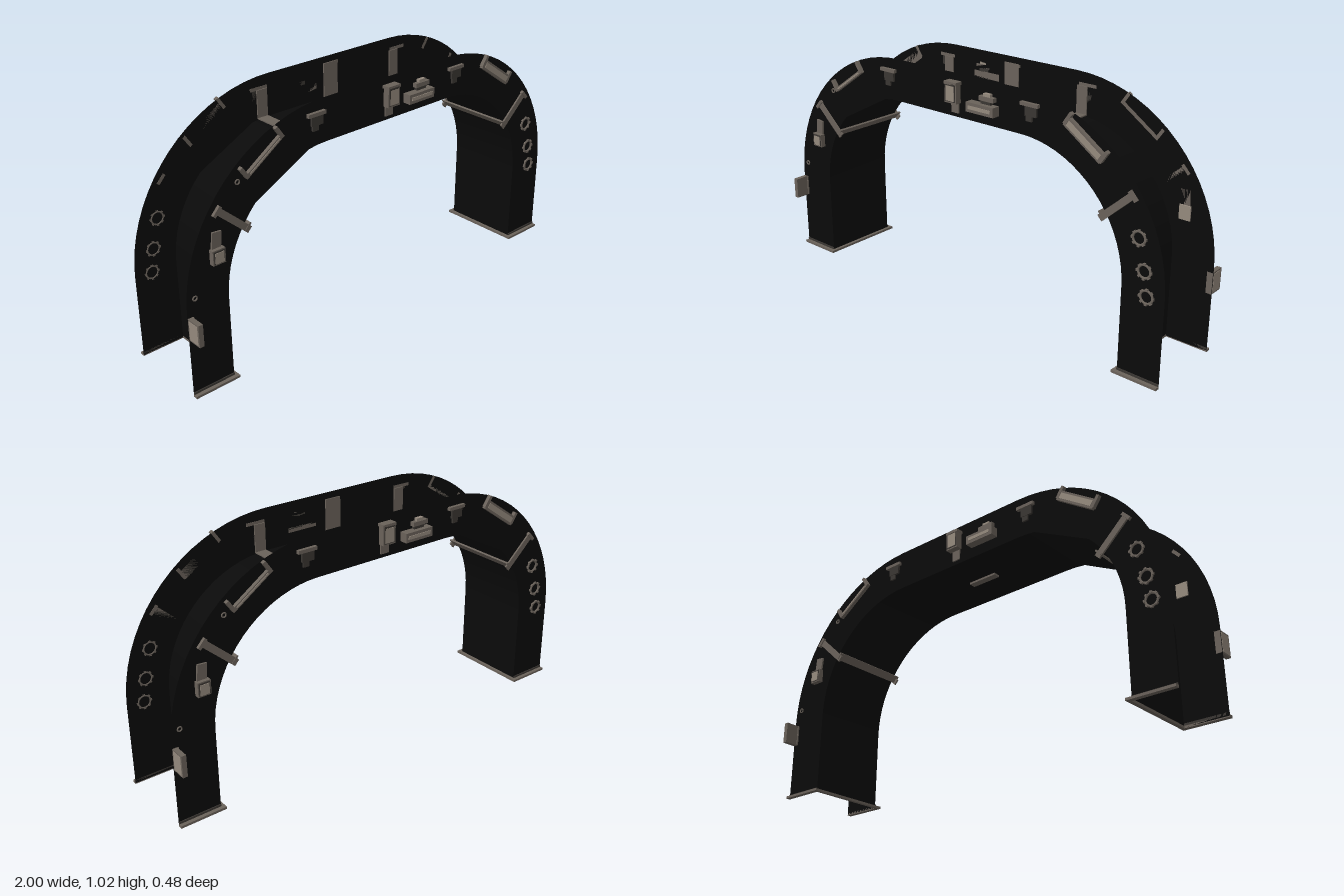
import * as THREE from 'three';

const CX = 0.33, CY = 0.36, R_OUT = 0.663, R_IN = 0.483, WALL = 0.175;

export function createModel() {
  const model = new THREE.Group();
  model.name = 'archway';
  const mat = (name, color, side = THREE.FrontSide) => {
    const m = new THREE.MeshStandardMaterial({ color, side });
    m.name = name;
    return m;
  };
  const black = mat('blackPanel', 0x0a0a0a, THREE.DoubleSide);
  const metal = mat('warmGreyMetal', 0x6a625a);
  const pale = mat('paleMetal', 0x94897d);
  const dark = mat('darkMetal', 0x3a3632);

  const add = (parent, name, geo, material, x = 0, y = 0, z = 0, rot = 0) => {
    const mesh = new THREE.Mesh(geo, material);
    mesh.name = name;
    mesh.position.set(x, y, z);
    mesh.rotation.z = rot;
    parent.add(mesh);
    return mesh;
  };
  const box = (parent, name, m, size, pos, rot = 0) =>
    add(parent, name, new THREE.BoxGeometry(...size), m, ...pos, rot);

  // Arch line from the right foot over the top to the left foot
  const archLine = (r, legX, skip = () => false) => {
    const pts = [new THREE.Vector2(legX, 0.004)];
    for (const [from, cx] of [[0, CX], [90, -CX]]) {
      for (let a = from; a <= from + 90; a += 5) {
        if (skip(a)) continue;
        const t = THREE.MathUtils.degToRad(a);
        const rx = legX - CX;
        pts.push(new THREE.Vector2(cx + rx * Math.cos(t), CY + r * Math.sin(t)));
      }
    }
    pts.push(new THREE.Vector2(-legX, 0.004));
    return pts;
  };
  const outer = archLine(R_OUT, 1);
  const inner = archLine(R_IN, 0.815, (a) => a > 104 && a < 133);

  // Thin side walls of the open channel
  const wall = new THREE.ShapeGeometry(new THREE.Shape([...outer, ...[...inner].reverse()]));
  add(model, 'frontWall', wall, black, 0, 0, WALL);
  add(model, 'backWall', wall, black, 0, 0, -WALL).rotation.y = Math.PI;
  // the left chord must line up on both walls
  model.children[1].rotation.y = 0;

  // Inner panel bent along the inner line
  const panel = new THREE.PlaneGeometry(1, 2 * WALL, inner.length - 1, 1);
  const pos = panel.attributes.position;
  for (let i = 0; i < pos.count; i++) {
    const p = inner[i % inner.length];
    pos.setXYZ(i, p.x, p.y, i < inner.length ? WALL : -WALL);
  }
  panel.computeVertexNormals();
  add(model, 'innerPanel', panel, black);

  // Foot flanges: front, back and inner strip on each leg
  for (const s of [1, -1]) {
    for (const f of [1, -1]) {
      box(model, 'footFlange', metal, [0.2, 0.01, 0.02], [s * 0.9, 0.005, f * 0.185]);
      box(model, 'footLip', dark, [0.185, 0.01, 0.004], [s * 0.907, 0.014, f * 0.177]);
    }
    box(model, 'footFlangeInner', metal, [0.015, 0.01, 0.39], [s * 0.808, 0.005, 0]);
  }

  // Straps lying across the channel floor and up both walls
  for (const [x, w, h] of [[-0.365, 0.05, 0.12], [-0.005, 0.075, 0.15], [0.36, 0.05, 0.12]]) {
    box(model, 'floorStrap', metal, [w, 0.005, 0.34], [x, 0.847, 0]);
    for (const f of [1, -1])
      box(model, 'wallStrap', metal, [w, h, 0.005], [x, 0.845 + h / 2, f * 0.171]);
  }
  // Centre bar through the top panel
  box(model, 'centreBar', dark, [0.15, 0.02, 0.03], [-0.005, 0.855, -0.005]);
  box(model, 'centreBarUnderside', metal, [0.14, 0.009, 0.03], [-0.005, 0.835, -0.005]);

  // Bands under the inner panel at each shoulder
  for (const s of [1, -1])
    box(model, 'shoulderBand', metal, [0.008, 0.035, 0.37], [s * 0.717, 0.622, 0], s * 0.69);

  // Fittings of one face, repeated on the other by a half turn
  const fittings = (name) => {
    const g = new THREE.Group();
    g.name = name;
    model.add(g);

    // Shoulder straps on the wall
    for (const s of [1, -1]) {
      box(g, 'shoulderStrap', metal, [0.19, 0.028, 0.008], [s * 0.78, 0.67, 0.179], s * 0.74);
      box(g, 'strapClip', metal, [0.014, 0.045, 0.014], [s * 0.848, 0.728, 0.181], s * 0.74);
    }

    // Framed lamps
    const lamp = (x, y, w, h, z, d) => {
      box(g, 'lampBody', metal, [w, h, d], [x, y, z]);
      box(g, 'lampFrame', dark, [w * 0.86, h * 0.86, 0.004], [x, y, z + d / 2]);
      box(g, 'lampFace', pale, [w * 0.7, h * 0.72, 0.006], [x, y - h * 0.03, z + d / 2 + 0.001]);
    };
    lamp(-0.005, 0.948, 0.062, 0.085, 0.194, 0.028);
    box(g, 'lampHook', metal, [0.065, 0.012, 0.04], [-0.005, 0.987, 0.19]);
    box(g, 'lampStrap', metal, [0.04, 0.06, 0.006], [-0.005, 0.89, 0.178]);
    lamp(-0.86, 0.557, 0.055, 0.06, 0.187, 0.022);
    box(g, 'lampHanger', metal, [0.04, 0.07, 0.008], [-0.857, 0.615, 0.179], -0.1);
    box(g, 'lampBackplate', pale, [0.05, 0.06, 0.006], [-0.86, 0.557, 0.171]);

    // Stepped control box
    box(g, 'controlBox', metal, [0.14, 0.04, 0.036], [0.15, 0.91, 0.193]);
    box(g, 'controlFace', pale, [0.115, 0.014, 0.004], [0.15, 0.91, 0.212]);
    box(g, 'controlNeck', dark, [0.05, 0.016, 0.016], [0.165, 0.936, 0.183]);
    box(g, 'controlTop', metal, [0.075, 0.018, 0.02], [0.17, 0.952, 0.185]);
    box(g, 'controlKnob', pale, [0.035, 0.012, 0.016], [0.17, 0.967, 0.183]);

    // T brackets at the strap ends
    for (const x of [-0.383, 0.377]) {
      box(g, 'bracketTop', metal, [0.085, 0.014, 0.016], [x, 0.97, 0.182]);
      box(g, 'bracketBody', dark, [0.055, 0.04, 0.01], [x + 0.004, 0.944, 0.18]);
      box(g, 'bracketStem', dark, [0.028, 0.025, 0.008], [x - 0.004, 0.915, 0.179]);
    }

    // Handrail on one shoulder, bar light on the other
    const shoulder = (partName, x, y, rot) => {
      const p = new THREE.Group();
      p.name = partName;
      p.position.set(x, y, 0.183);
      p.rotation.z = rot;
      g.add(p);
      for (const e of [1, -1])
        box(p, 'endClip', metal, [0.014, 0.055, 0.018], [e * 0.098, 0.012, 0]);
      return p;
    };
    const rail = shoulder('handrail', -0.637, 0.885, 0.6);
    box(rail, 'rail', metal, [0.2, 0.016, 0.016], [0, -0.008, 0]);
    box(rail, 'railHighlight', pale, [0.17, 0.006, 0.004], [0, -0.008, 0.008]);
    const bar = shoulder('barLight', 0.632, 0.89, -0.6);
    box(bar, 'barBody', metal, [0.2, 0.042, 0.016], [0, 0, 0]);
    box(bar, 'barFace', pale, [0.175, 0.024, 0.004], [0, 0, 0.008]);

    // Notched rings on one leg
    for (const [x, y] of [[0.88, 0.575], [0.91, 0.453], [0.925, 0.355]]) {
      add(g, 'ring', new THREE.TorusGeometry(0.026, 0.005, 6, 20), metal, x, y, 0.178);
      for (let i = 0; i < 8; i++) {
        const t = (i / 8) * Math.PI * 2;
        box(g, 'ringStud', metal, [0.008, 0.01, 0.01],
          [x + 0.029 * Math.cos(t), y + 0.029 * Math.sin(t), 0.179], t);
      }
    }
    // Small eyelets
    for (const [x, y] of [[-0.963, 0.417], [-0.75, 0.81]])
      add(g, 'eyelet', new THREE.TorusGeometry(0.009, 0.003, 6, 12), metal, x, y, 0.178);

    // Side plate projecting from the outer edge of the leg
    box(g, 'sidePlate', metal, [0.02, 0.093, 0.065], [-0.988, 0.298, 0.208]);
    box(g, 'sidePlateFace', pale, [0.004, 0.08, 0.052], [-0.9975, 0.298, 0.208]);
    box(g, 'sidePlateMount', metal, [0.025, 0.09, 0.008], [-0.986, 0.298, 0.177]);
    return g;
  };
  fittings('frontFittings');
  fittings('backFittings').rotation.y = Math.PI;

  return model;
}
